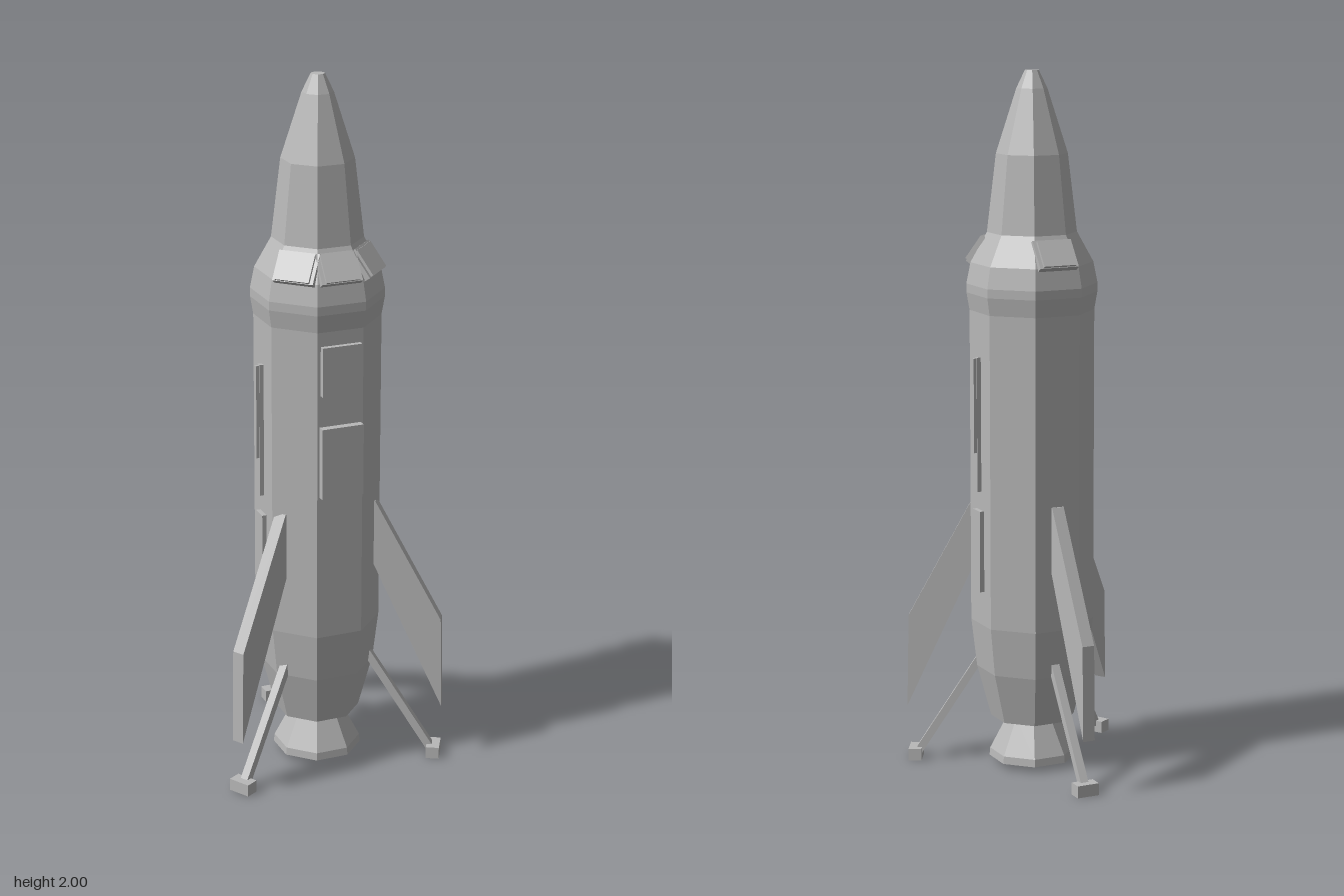
import * as THREE from 'three';

const hull = new THREE.MeshStandardMaterial({ color: 0xb8b8b8, flatShading: true });
hull.name = 'hull grey';

function add(parent, name, geometry, x = 0, y = 0, z = 0) {
  const mesh = new THREE.Mesh(geometry, hull);
  mesh.name = name;
  mesh.position.set(x, y, z);
  parent.add(mesh);
  return mesh;
}

// Eight-sided solid of revolution; profile holds [distance to flat face, height]
function octagon(profile) {
  const k = 1 / Math.cos(Math.PI / 8);
  const points = profile.map(([r, y]) => new THREE.Vector2(r * k, y));
  return new THREE.LatheGeometry(points, 8, Math.PI / 8);
}

// Group whose local +z points outward at the given angle from the front
function outward(parent, name, angle) {
  const group = new THREE.Group();
  group.name = name;
  group.rotation.y = angle;
  parent.add(group);
  return group;
}

export function createModel() {
  const model = new THREE.Group();
  model.name = 'rocket';
  const core = new THREE.Group();
  core.name = 'rocketAssembly';
  core.position.z = 0.078;
  model.add(core);

  // Fuselage with shoulder and nose cone
  add(core, 'fuselage', octagon([
    [0, 0.14], [0.111, 0.14], [0.148, 0.29], [0.163, 0.43], [0.163, 1.33], [0.171, 1.38],
    [0.171, 1.405], [0.16, 1.465], [0.117, 1.55], [0.093, 1.77], [0.04, 1.95], [0.018, 2], [0, 2],
  ]));

  // Hollow engine bell
  add(core, 'engineBell', octagon([
    [0, 0.13], [0.05, 0.13], [0.092, 0.04], [0.1, 0.018], [0.116, 0.018],
    [0.114, 0.04], [0.064, 0.145],
  ]));

  // Hatches on the front
  add(core, 'upperHatch', new THREE.BoxGeometry(0.116, 0.14, 0.03), 0, 1.22, 0.163);
  add(core, 'lowerHatch', new THREE.BoxGeometry(0.122, 0.205, 0.04), 0, 0.957, 0.165);

  // Cockpit windows tilted out from the shoulder
  for (const angle of [0, Math.PI / 4, -Math.PI / 4, Math.PI]) {
    const group = outward(core, 'window', angle);
    const frame = add(group, 'windowFrame', new THREE.BoxGeometry(0.118, 0.088, 0.02), 0, 1.498, 0.143);
    const pane = add(group, 'windowPane', new THREE.BoxGeometry(0.098, 0.08, 0.012), 0, 1.503, 0.154);
    frame.rotation.x = pane.rotation.x = -0.62;
  }

  // Side rails and panels
  for (const side of [1, -1]) {
    const group = outward(core, 'sideDetails', side * Math.PI / 2);
    add(group, 'rail', new THREE.BoxGeometry(0.014, 0.385, 0.03), 0, 1.012, 0.16);
    add(group, 'railCap', new THREE.BoxGeometry(0.01, 0.27, 0.04), 0, 1.067, 0.164);
    add(group, 'sidePanel', new THREE.BoxGeometry(0.048, 0.235, 0.026), 0, 0.648, 0.163);
  }

  // Fin outline: x is the distance from the axis
  const outline = new THREE.Shape([
    [0.13, 0.79], [0.13, 0.54], [0.163, 0.6], [0.364, 0.163], [0.358, 0.435], [0.167, 0.79],
  ].map(([r, y]) => new THREE.Vector2(r, y)));
  const finGeometry = new THREE.ExtrudeGeometry(outline, { depth: 0.036, bevelEnabled: false });
  finGeometry.translate(0, 0, -0.018);
  finGeometry.rotateY(-Math.PI / 2);

  // Three fins, each with a landing leg and foot below
  const top = new THREE.Vector2(0.135, 0.335), foot = new THREE.Vector2(0.338, 0.015);
  for (const angle of [Math.PI / 3, -Math.PI / 3, Math.PI]) {
    const group = outward(core, 'finAndLeg', angle);
    add(group, 'fin', finGeometry);
    const leg = add(group, 'leg', new THREE.BoxGeometry(0.024, top.distanceTo(foot), 0.022),
      0, (top.y + foot.y) / 2, (top.x + foot.x) / 2);
    leg.rotation.x = -Math.atan2(foot.x - top.x, top.y - foot.y);
    add(group, 'foot', new THREE.BoxGeometry(0.066, 0.035, 0.038), 0, 0.0175, 0.342);
  }

  return model;
}
